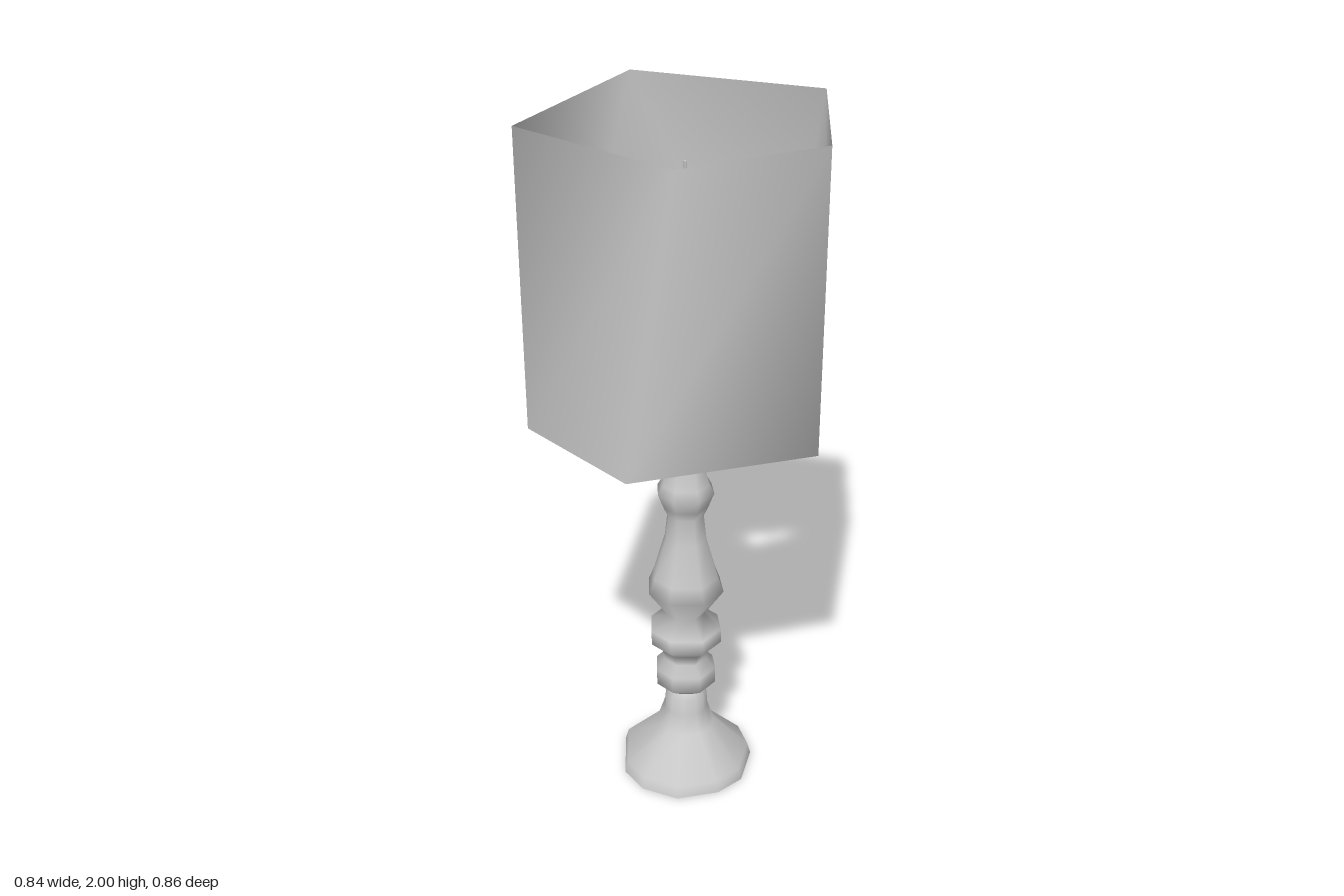
import * as THREE from 'three';

// Skins a stack of equal-length rings (bottom to top, clockwise seen from above).
function loft(rings) {
  const n = rings[0].length, index = [];
  for (let r = 0; r < rings.length - 1; r++) {
    for (let i = 0; i < n; i++) {
      const j = (i + 1) % n, low = r * n, high = low + n;
      index.push(high + i, high + j, low + j, high + i, low + j, low + i);
    }
  }
  const g = new THREE.BufferGeometry();
  g.setAttribute('position', new THREE.Float32BufferAttribute(rings.flat(2), 3));
  g.setIndex(index);
  g.computeVertexNormals();
  return g;
}

// Flat polygon closing a ring, facing up or down.
function cap(ring, up) {
  const g = new THREE.BufferGeometry(), index = [];
  for (let i = 1; i < ring.length - 1; i++) {
    index.push(0, ...(up ? [i + 1, i] : [i, i + 1]));
  }
  g.setAttribute('position', new THREE.Float32BufferAttribute(ring.flat(), 3));
  g.setIndex(index);
  g.computeVertexNormals();
  return g;
}

const ringAt = (outline, y, s = 1) => outline.map(([x, z]) => [x * s, y, z * s]);

export function createModel() {
  const model = new THREE.Group();
  model.name = 'tableLamp';
  const grey = new THREE.MeshStandardMaterial({ color: 0xc8c8c8 });
  grey.name = 'light grey';
  const shadeGrey = grey.clone();
  shadeGrey.name = 'light grey shade';
  shadeGrey.side = THREE.DoubleSide;

  const add = (name, geometry, material = grey) => {
    const mesh = new THREE.Mesh(geometry, material);
    mesh.name = name;
    model.add(mesh);
    return mesh;
  };

  // Open five-sided shade whose rims are turned against each other
  const lowerRim = [[-0.33, -0.275], [0, -0.43], [0.425, 0], [0, 0.425], [-0.41, 0.12]];
  const upperRim = [[-0.33, -0.275], [0.235, -0.36], [0.395, 0.16], [0, 0.425], [-0.36, 0.235]];
  add('shade', loft([ringAt(lowerRim, 1.18), ringAt(upperRim, 2)]), shadeGrey);

  // Flared foot with an uneven ten-sided outline
  const footOutline = [[-0.2, -0.01], [-0.17, -0.1], [-0.04, -0.2], [0.06, -0.185], [0.185, -0.08],
    [0.185, 0.075], [0.13, 0.15], [0.01, 0.2], [-0.08, 0.18], [-0.175, 0.1]];
  const foot = [[0, 1], [0.035, 0.95], [0.14, 0.43], [0.2, 0.33], [0.25, 0.31], [0.265, 0.2]]
    .map(([y, s]) => ringAt(footOutline, y, s));
  add('foot', loft(foot));
  add('footUnderside', cap(foot[0], false));

  // Turned column and cup, sharing an eight-sided outline of about unit radius
  const columnOutline = [[-0.9, -0.55], [-0.27, -1.05], [0.27, -1.05], [0.95, -0.5],
    [0.95, 0.45], [0.4, 0.98], [-0.45, 0.95], [-1, 0.2]];
  const turn = (profile) => profile.map(([y, r]) => ringAt(columnOutline, y, r));
  add('column', loft(turn([
    [0.26, 0.04], [0.295, 0.085], [0.345, 0.085], [0.375, 0.058], [0.41, 0.068],
    [0.44, 0.1], [0.485, 0.1], [0.53, 0.052], [0.615, 0.106], [0.66, 0.09],
    [0.78, 0.058], [0.86, 0.05], [0.89, 0.062], [0.935, 0.078], [0.96, 0.065],
    [1.0, 0.055], [1.03, 0.048],
  ])));
  const cup = turn([[1.02, 0.045], [1.06, 0.105], [1.08, 0.11]]);
  add('cup', loft(cup));
  add('cupTop', cap(cup[2], true));

  // Thin wire support inside the shade
  add('shadePost', new THREE.CylinderGeometry(0.005, 0.005, 0.68, 5)).position.y = 1.54;
  const bar = add('shadeCrossbar', new THREE.CylinderGeometry(0.003, 0.003, 0.78, 4));
  bar.rotation.z = Math.PI / 2;
  bar.position.set(0.01, 1.2, 0);

  return model;
}
